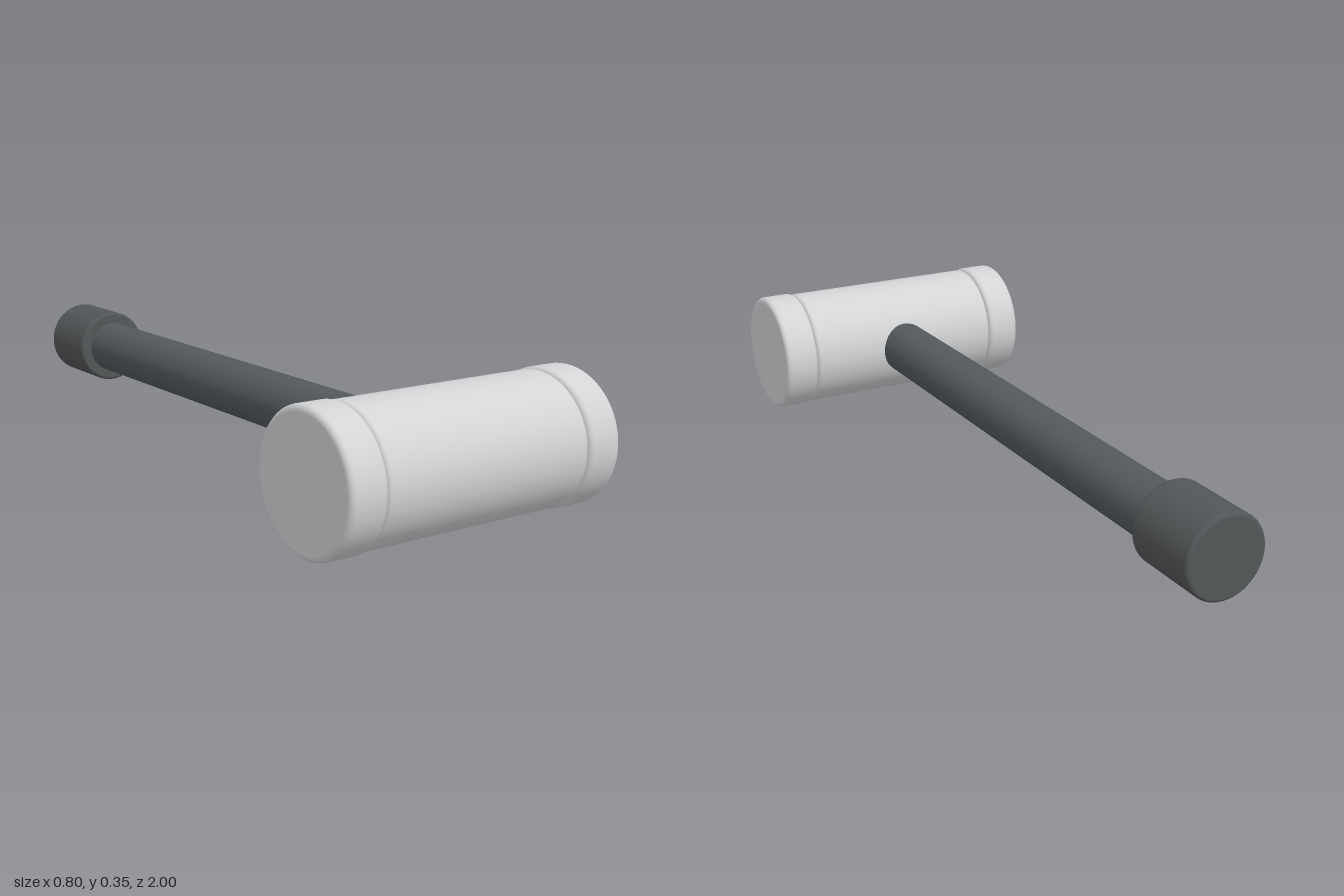
import * as THREE from 'three';

const CENTRE_Y = 0.177;
const HEAD_Z = 0.824;

// Solid round bar along y from a to b, with filleted rims
function roundedBar(radius, a, b, fillet) {
  const pts = [new THREE.Vector2(0, a), new THREE.Vector2(radius - fillet * 1.05, a)];
  const steps = 6;
  const arc = (cy, start) => {
    for (let i = 0; i <= steps; i++) {
      const t = start + (i / steps) * Math.PI / 2;
      pts.push(new THREE.Vector2(radius - fillet + Math.cos(t) * fillet, cy + Math.sin(t) * fillet));
    }
  };
  arc(a + fillet, -Math.PI / 2);
  pts.push(new THREE.Vector2(radius, a + fillet * 1.05), new THREE.Vector2(radius, b - fillet * 1.05));
  arc(b - fillet, 0);
  pts.push(new THREE.Vector2(radius - fillet * 1.05, b), new THREE.Vector2(0, b));
  return new THREE.LatheGeometry(pts, 64);
}

export function createModel() {
  const group = new THREE.Group();
  const material = (name, color) => {
    const m = new THREE.MeshStandardMaterial({ color });
    m.name = name;
    return m;
  };
  const lightGrey = material('lightGrey', 0xd2d3d5);
  const darkGrey = material('darkGrey', 0x54595c);
  const gripGrey = material('gripGrey', 0x535658);

  const add = (name, geometry, mat, z) => {
    const mesh = new THREE.Mesh(geometry, mat);
    mesh.name = name;
    mesh.position.set(0, CENTRE_Y, z);
    group.add(mesh);
  };

  // Head: barrel with a slightly wider striking face at each end
  const alongX = (g) => g.rotateZ(-Math.PI / 2);
  add('headBarrel', alongX(roundedBar(0.171, -0.3, 0.3, 0.012)), lightGrey, HEAD_Z);
  add('leftFace', alongX(roundedBar(0.175, 0.3, 0.401, 0.015)), lightGrey, HEAD_Z);
  add('rightFace', alongX(roundedBar(0.175, -0.401, -0.3, 0.015)), lightGrey, HEAD_Z);

  // Handle runs back from inside the head to the end grip
  const alongZ = (g) => g.rotateX(Math.PI / 2);
  add('handle', alongZ(roundedBar(0.077, -0.9, 0.72, 0.005)), darkGrey, 0);
  add('endGrip', alongZ(roundedBar(0.11, -1, -0.783, 0.01)), gripGrey, 0);

  return group;
}
